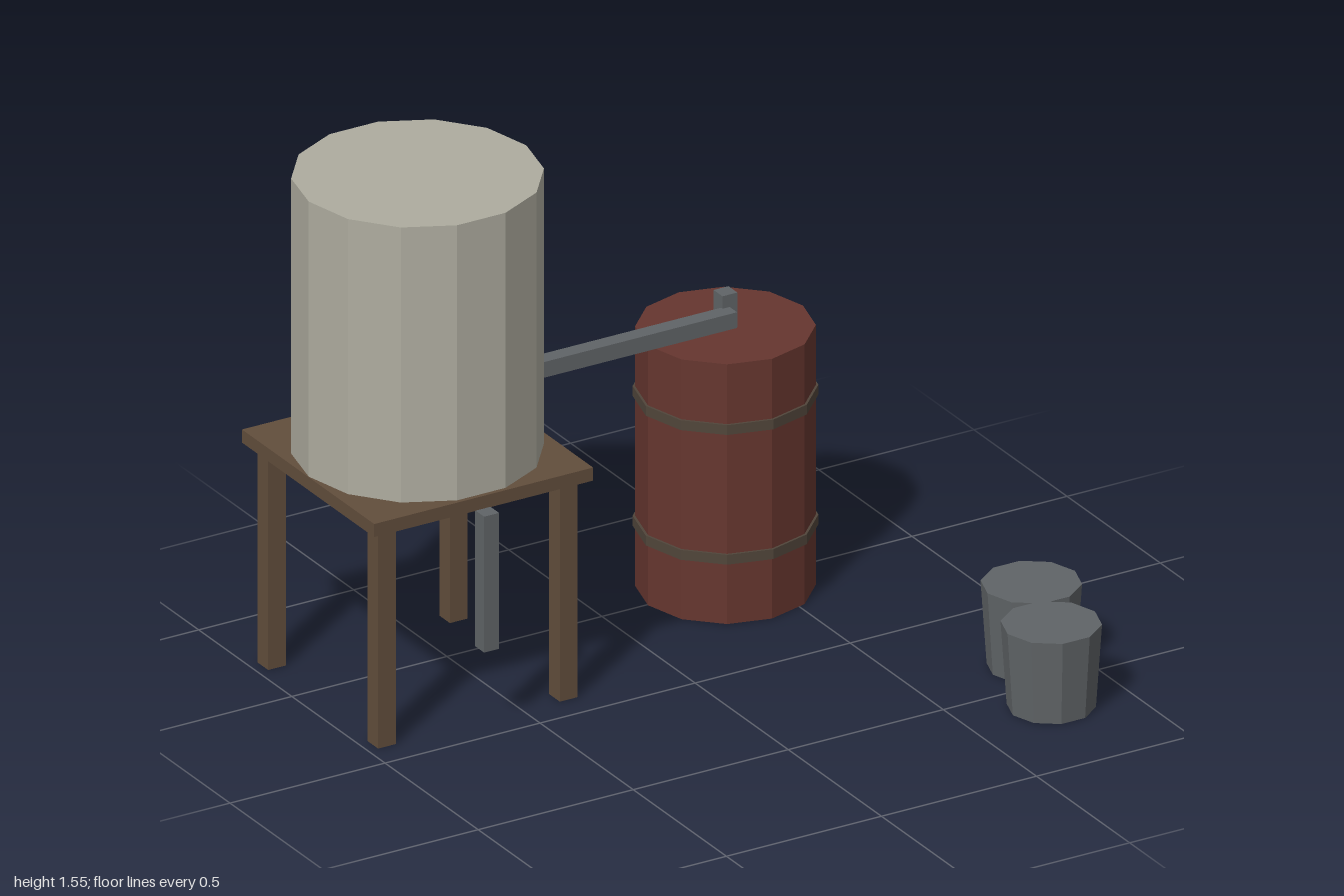
import * as THREE from 'three';

const mat = (name, color) => {
  const m = new THREE.MeshStandardMaterial({ color, flatShading: true });
  m.name = name;
  return m;
};

export function createModel() {
  const paleTank = mat('paleTank', 0xaeac9f);
  const rust = mat('rustRed', 0x66362f);
  const wood = mat('wood', 0x624e3c);
  const metal = mat('greyMetal', 0x606467);
  const hoop = mat('darkHoop', 0x50453a);

  const model = new THREE.Group();
  model.name = 'waterStation';
  const add = (parent, name, geo, material, x, y, z) => {
    const mesh = new THREE.Mesh(geo, material);
    mesh.name = name;
    mesh.position.set(x, y, z);
    parent.add(mesh);
    return mesh;
  };
  const box = (w, h, d) => new THREE.BoxGeometry(w, h, d);
  // Prism with a corner on the x axis
  const prism = (top, bottom, h, sides) =>
    new THREE.CylinderGeometry(top, bottom, h, sides, 1, false, Math.PI / 2);

  // Raised tank on a wooden stand
  const stand = new THREE.Group();
  stand.name = 'tankStand';
  stand.position.set(-0.647, 0, -0.413);
  model.add(stand);
  add(stand, 'platform', box(0.706, 0.04, 0.71), wood, 0, 0.688, 0);
  for (const sx of [-1, 1])
    for (const sz of [-1, 1])
      add(stand, 'leg', box(0.057, 0.67, 0.057), wood, sx * 0.293, 0.335, sz * 0.295);
  add(stand, 'tank', prism(0.351, 0.351, 0.842, 14), paleTank, 0, 1.129, 0);

  // Drain pipe hanging from the front edge of the platform
  add(model, 'drainPipe', box(0.048, 0.416, 0.048), metal, -0.649, 0.461, -0.036);

  // Barrel with two hoops
  const barrel = new THREE.Group();
  barrel.name = 'barrel';
  barrel.position.set(0.396, 0, -0.496);
  model.add(barrel);
  add(barrel, 'barrelBody', prism(0.25, 0.25, 0.795, 12), rust, 0, 0.3975, 0);
  for (const y of [0.2, 0.597])
    add(barrel, 'barrelHoop', prism(0.257, 0.257, 0.03, 12), hoop, 0, y, 0);
  add(barrel, 'inlet', box(0.048, 0.12, 0.048), metal, 0, 0.84, 0);

  // Pipe from tank to barrel
  add(model, 'feedPipe', box(0.71, 0.048, 0.048), metal, 0.04, 0.838, -0.456);

  // Two tapered buckets on the ground
  for (const [x, z] of [[0.857, 0.378], [0.77, 0.63]])
    add(model, 'bucket', prism(0.141, 0.124, 0.253, 10), metal, x, 0.1265, z);

  return model;
}
